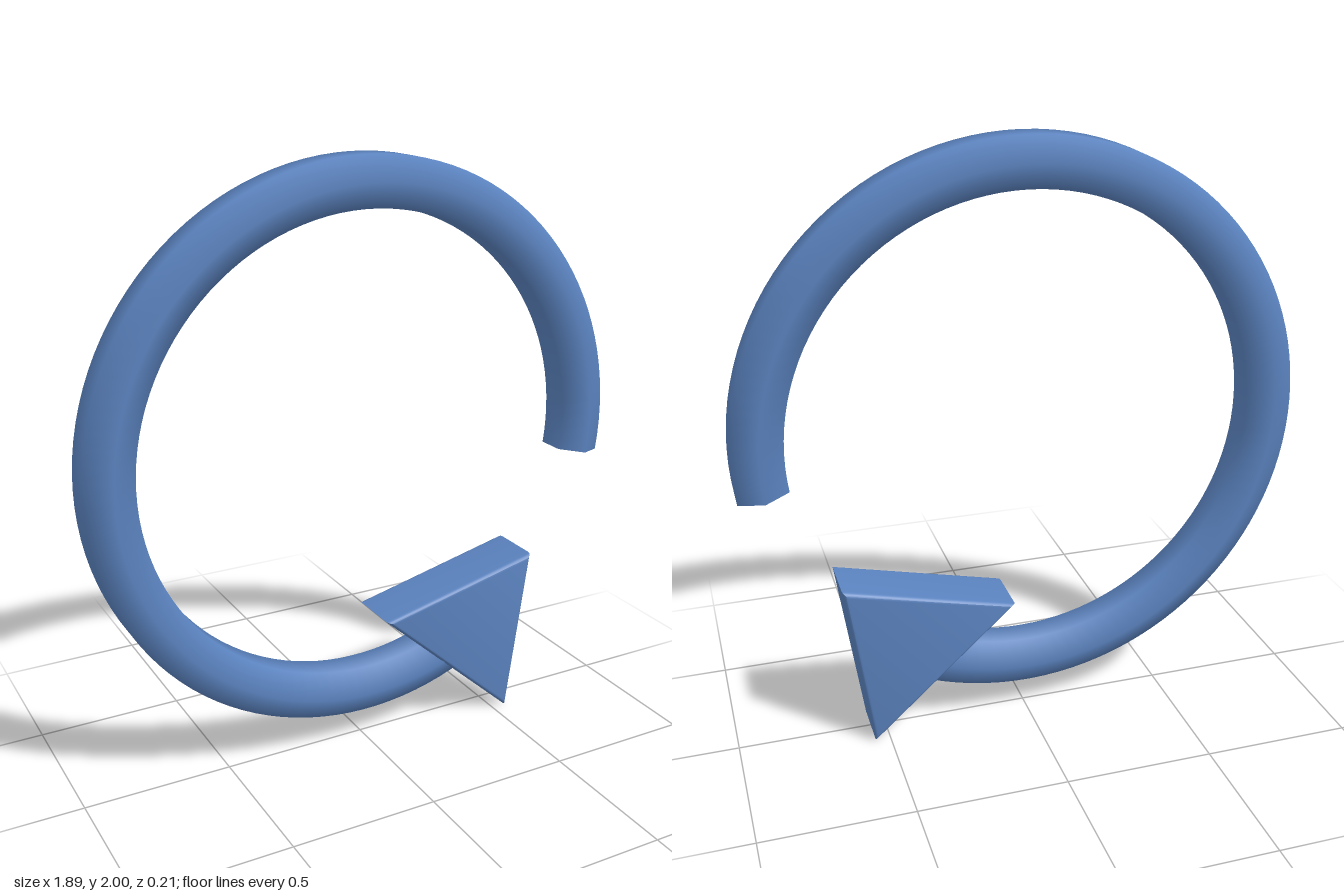
import * as THREE from 'three';
import { toCreasedNormals } from 'three/addons/utils/BufferGeometryUtils.js';

const RING = 0.863, TUBE = 0.095, CENTER_Y = 1.055;
const START = THREE.MathUtils.degToRad(-8.5);
const END = THREE.MathUtils.degToRad(298);

// Circular centre line of the open ring
class RingArc extends THREE.Curve {
  getPoint(t, target = new THREE.Vector3()) {
    const a = START + (END - START) * t;
    return target.set(RING * Math.cos(a), CENTER_Y + RING * Math.sin(a), 0);
  }
}

// Hexagonal lid closing the tube, facing along the given direction
function makeCap(point, normal, material) {
  const cap = new THREE.Mesh(new THREE.CircleGeometry(TUBE, 6), material);
  const side = new THREE.Vector3(0, 0, 1);
  const up = new THREE.Vector3().crossVectors(normal, side);
  cap.quaternion.setFromRotationMatrix(new THREE.Matrix4().makeBasis(side, up, normal));
  cap.position.copy(point);
  return cap;
}

export function createModel() {
  const group = new THREE.Group();
  group.name = 'circularArrow';
  const blue = new THREE.MeshStandardMaterial({ color: 0x5a82be });
  blue.name = 'blue';

  // Six-sided, smooth-shaded open ring
  const arc = new RingArc();
  const ring = new THREE.Mesh(new THREE.TubeGeometry(arc, 96, TUBE, 6, false), blue);
  ring.name = 'ring';
  group.add(ring);

  // End caps
  const startCap = makeCap(arc.getPoint(0), new THREE.Vector3(Math.sin(START), -Math.cos(START), 0), blue);
  startCap.name = 'startCap';
  const endCap = makeCap(arc.getPoint(1), new THREE.Vector3(-Math.sin(END), Math.cos(END), 0), blue);
  endCap.name = 'endCap';
  group.add(startCap, endCap);

  // Triangular arrowhead with softly rounded edges
  const bevel = 0.02, thickness = 0.208;
  const outline = new THREE.Shape([
    new THREE.Vector2(0.055, 0.447),
    new THREE.Vector2(0.551, 0),
    new THREE.Vector2(0.636, 0.586),
  ]);
  const headGeometry = new THREE.ExtrudeGeometry(outline, {
    depth: thickness - 2 * bevel,
    bevelEnabled: true,
    bevelThickness: bevel,
    bevelSize: bevel,
    bevelOffset: -bevel,
    bevelSegments: 4,
  });
  headGeometry.translate(0, 0, bevel - thickness / 2);
  const head = new THREE.Mesh(toCreasedNormals(headGeometry, 0.6), blue);
  head.name = 'arrowHead';
  group.add(head);

  return group;
}
